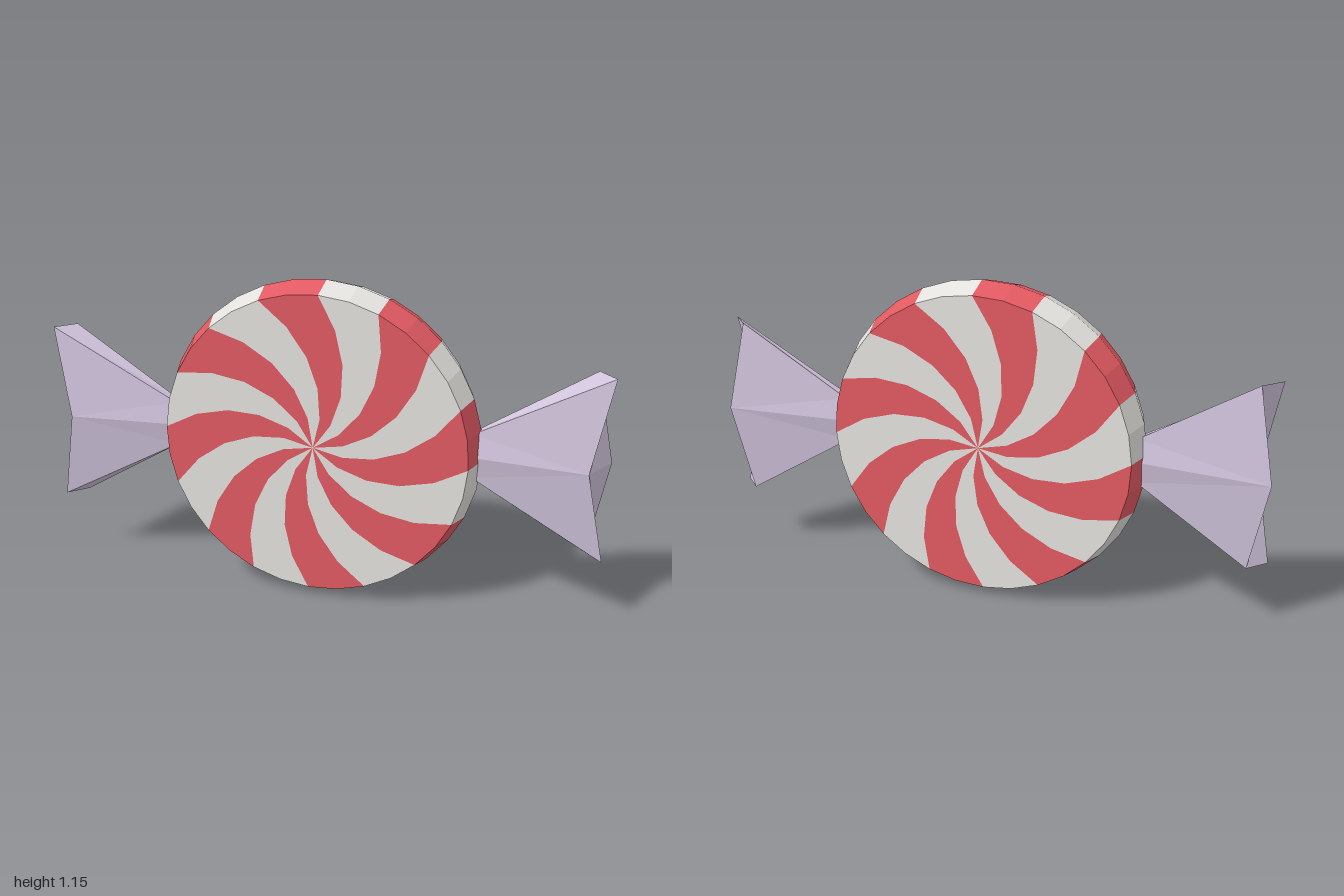
import * as THREE from 'three';

const CY = 0.577;      // height of the centre
const R_MID = 0.573;   // rim radius at the middle
const R_FACE = 0.544;  // radius of the flat faces
const HALF = 0.1;      // half thickness
const STRIPES = 16, RINGS = 5;
const START = THREE.MathUtils.degToRad(88);
const TWIST = THREE.MathUtils.degToRad(42);

const material = (name, color) => {
  const m = new THREE.MeshStandardMaterial({ color });
  m.name = name;
  return m;
};

// Collects flat-shaded triangles; flip reverses the corner order.
function faceBuilder() {
  const pos = [];
  const tri = (a, b, c, flip) => pos.push(...a, ...(flip ? c : b), ...(flip ? b : c));
  const quad = (a, b, c, d, flip) => { tri(a, b, c, flip); tri(a, c, d, flip); };
  const mesh = (name, mat) => {
    const g = new THREE.BufferGeometry();
    g.setAttribute('position', new THREE.Float32BufferAttribute(pos, 3));
    g.computeVertexNormals();
    const m = new THREE.Mesh(g, mat);
    m.name = name;
    return m;
  };
  return { tri, quad, mesh };
}

const polar = (r, t, z) => [r * Math.cos(t), CY + r * Math.sin(t), z];

// Every second swirl stripe, on both faces and across the bevelled rim
function stripes(name, mat, parity) {
  const b = faceBuilder();
  const step = Math.PI / STRIPES; // two facets per stripe
  for (let s = parity; s < STRIPES; s += 2) {
    for (let k = 0; k < 2; k++) {
      const t0 = START + (2 * s + k) * step, t1 = t0 + step;
      for (const side of [1, -1]) {
        const z = side * HALF, flip = side < 0;
        b.quad(polar(R_MID, t0, 0), polar(R_MID, t1, 0), polar(R_FACE, t1, z), polar(R_FACE, t0, z), flip);
        for (let i = 0; i < RINGS; i++) {
          const f0 = i / RINGS, f1 = (i + 1) / RINGS;
          const w0 = -side * TWIST * (1 - f0), w1 = -side * TWIST * (1 - f1);
          const a = polar(R_FACE * f0, t0 + w0, z), d = polar(R_FACE * f0, t1 + w0, z);
          const p = polar(R_FACE * f1, t0 + w1, z), q = polar(R_FACE * f1, t1 + w1, z);
          if (i === 0) b.tri(a, p, q, flip);
          else b.quad(a, p, q, d, flip);
        }
      }
    }
  }
  return b.mesh(name, mat);
}

// Flared wrapper end: a six-sided neck opening to a zigzag mouth
function wrapperEnd(name, mat, side) {
  const b = faceBuilder(), flip = side < 0;
  const section = [[1, 0.5], [1, -0.5], [0, -1], [-1, -0.5], [-1, 0.5], [0, 1]]; // y, z
  const neck = section.map(([y, z]) => [side * 0.54, CY + y * 0.08, z * 0.03]);
  const mouth = section.map(([y, z], i) => [side * (i % 2 ? 0.937 : 1), CY + y * 0.328, z * 0.065]);
  for (let i = 0; i < 6; i++) {
    const j = (i + 1) % 6;
    if (j % 3 === 2) { // fold toward the middle corner
      b.tri(neck[i], mouth[i], mouth[j], flip);
      b.tri(neck[i], mouth[j], neck[j], flip);
    } else {
      b.tri(neck[i], mouth[i], neck[j], flip);
      b.tri(mouth[i], mouth[j], neck[j], flip);
    }
  }
  // mouth closed by a fan from the front corner
  for (let i = 0; i < 4; i++) b.tri(mouth[5], mouth[i + 1], mouth[i], flip);
  return b.mesh(name, mat);
}

export function createModel() {
  const red = material('candyRed', 0xe25a62);
  const white = material('candyWhite', 0xe4e2de);
  const lavender = material('wrapperLavender', 0xcfc2da);

  const model = new THREE.Group();
  model.name = 'wrappedCandy';
  const candy = new THREE.Group();
  candy.name = 'candyDisc';
  candy.add(stripes('redStripes', red, 0), stripes('whiteStripes', white, 1));
  model.add(candy, wrapperEnd('leftWrapperEnd', lavender, 1), wrapperEnd('rightWrapperEnd', lavender, -1));
  return model;
}
